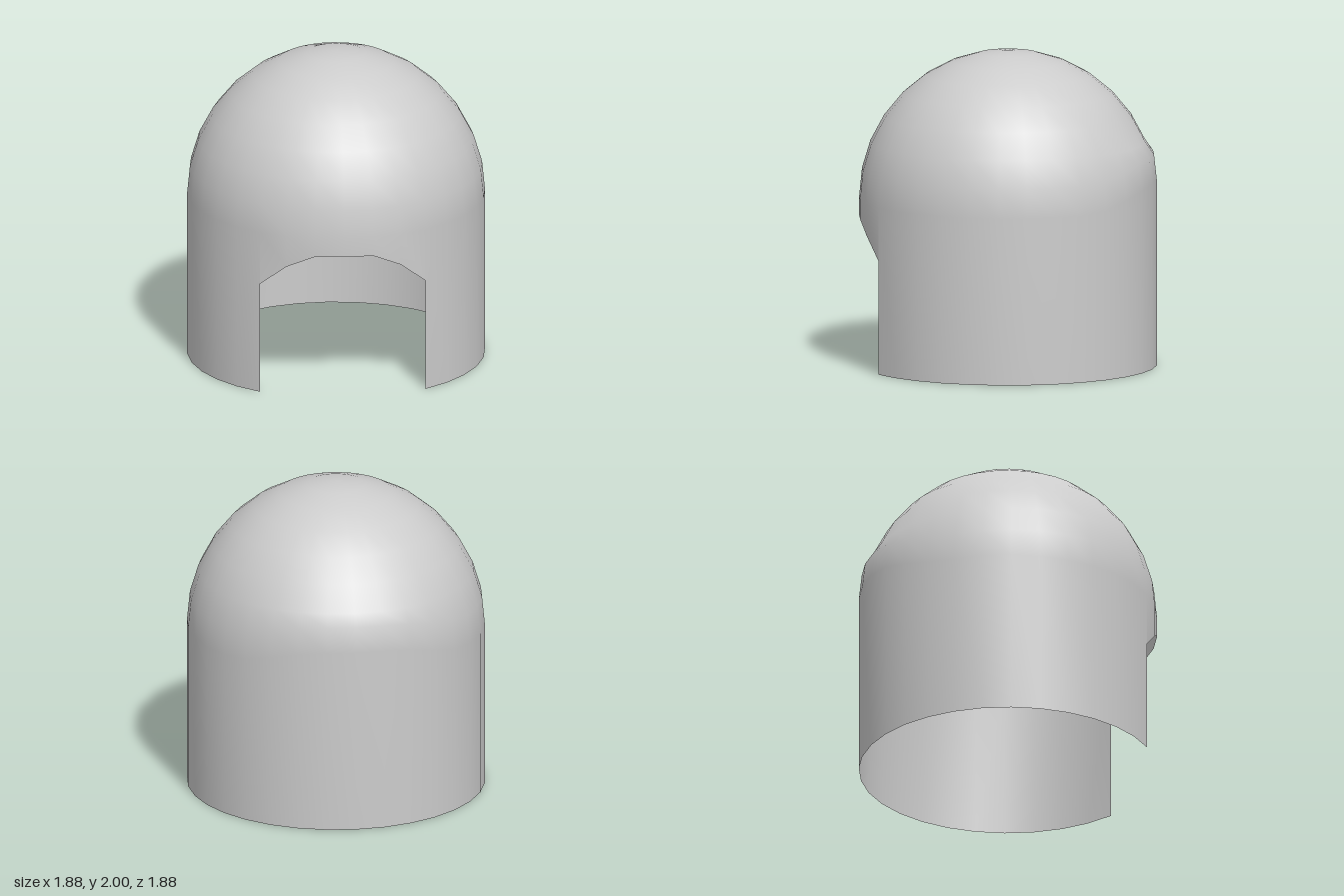
import * as THREE from 'three';
import { mergeGeometries, mergeVertices } from 'three/addons/utils/BufferGeometryUtils.js';

const R = 0.94;         // shell radius
const SPRING = 1.06;    // height where the dome begins
const STEP = Math.PI / 16;
const DOOR = 3;         // door half-width in facets
const ARCH = [0.94, 0.94, 0.86, 0.72]; // door top by facet edge from the centre

// Turned shell strip; startFacet 0 faces the front
function strip(points, startFacet, facets) {
  const g = new THREE.LatheGeometry(
    points.map(([r, y]) => new THREE.Vector2(r, y)), facets, startFacet * STEP, facets * STEP);
  g.deleteAttribute('normal');
  g.deleteAttribute('uv');
  return g;
}

function shellGeometry() {
  // Wall around everything but the doorway
  const wall = strip([[R, 0], [R, SPRING]], DOOR, 32 - 2 * DOOR);

  // Lintel with its lower edge following the arch
  const lintel = strip([[R, 0], [R, SPRING]], -DOOR, 2 * DOOR);
  const lp = lintel.attributes.position;
  for (let i = 0; i <= 2 * DOOR; i++) lp.setY(i * 2, ARCH[Math.abs(i - DOOR)]);

  // Hemispherical roof
  const profile = [];
  for (let i = 0; i <= 8; i++) {
    profile.push([i === 8 ? 0 : R * Math.cos(i * STEP), SPRING + R * Math.sin(i * STEP)]);
  }
  const roof = strip(profile, 0, 32);

  const shell = mergeVertices(mergeGeometries([wall, lintel, roof]), 1e-4);

  // The two lowest roof rings rise slightly in a soft arch at the back
  const p = shell.attributes.position;
  for (let i = 0; i < p.count; i++) {
    const y = p.getY(i);
    if (y < SPRING - 0.01 || y > 1.3) continue;
    const fromBack = Math.abs(Math.atan2(p.getX(i), -p.getZ(i))) / STEP;
    const fade = 1 - THREE.MathUtils.smoothstep(fromBack, 1, 5);
    p.setY(i, y + (y < 1.1 ? 0.12 : 0.1) * fade);
  }
  shell.computeVertexNormals();
  return shell;
}

export function createModel() {
  const group = new THREE.Group();
  group.name = 'domedShelter';
  const material = new THREE.MeshStandardMaterial({ color: 0xcccccc, side: THREE.DoubleSide });
  const shell = new THREE.Mesh(shellGeometry(), material);
  shell.name = 'domedShell';
  group.add(shell);
  return group;
}
